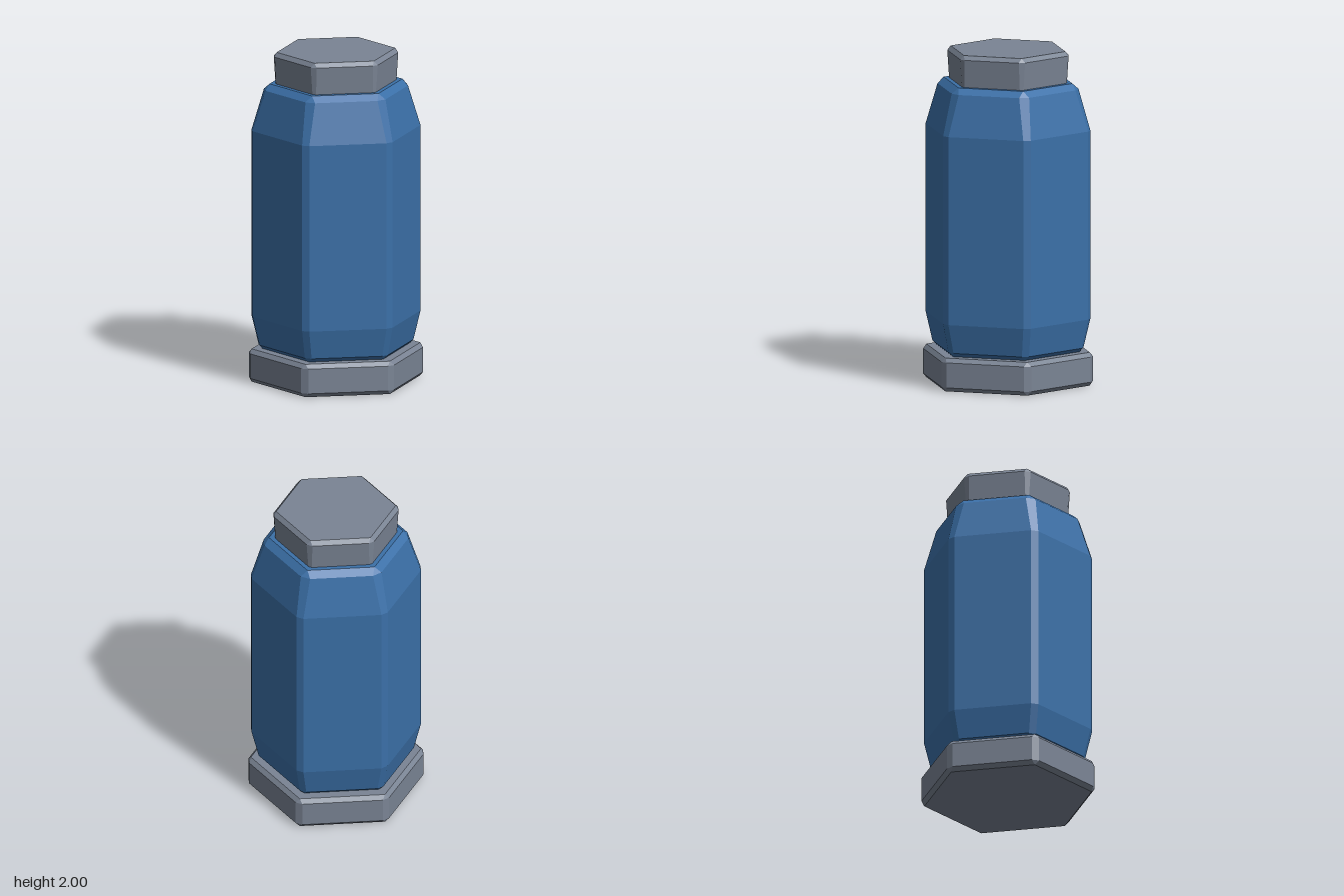
import * as THREE from 'three';

// One hexagonal ring: flat-to-centre distance and corner reach along x.
// A reach shorter than the true corner leaves a narrow chamfer there.
function ring([y, apothem, reach = apothem / Math.cos(Math.PI / 6)]) {
  const half = Math.max(0, (apothem - reach * Math.cos(Math.PI / 6)) / 0.5);
  const points = [];
  for (let k = 0; k < 6; k++) {
    const c = Math.cos(k * Math.PI / 3), s = Math.sin(k * Math.PI / 3);
    for (const z of [-half, half]) {
      points.push(new THREE.Vector3(reach * c - z * s, y, reach * s + z * c));
    }
  }
  return points;
}

// Closed, flat-faced solid lofted through rings listed from bottom to top
function hexSolid(name, levels, material) {
  const rings = levels.map(ring);
  const positions = [];
  const triangle = (a, b, c) => {
    const area = b.clone().sub(a).cross(c.clone().sub(a)).length();
    if (area > 1e-8) for (const p of [a, b, c]) positions.push(p.x, p.y, p.z);
  };
  const last = rings.length - 1;
  const bottom = new THREE.Vector3(0, levels[0][0], 0);
  const top = new THREE.Vector3(0, levels[last][0], 0);
  for (let i = 0; i < 12; i++) {
    const j = (i + 1) % 12;
    for (let r = 0; r < last; r++) {
      const a = rings[r], b = rings[r + 1];
      triangle(a[j], a[i], b[i]);
      triangle(a[j], b[i], b[j]);
    }
    triangle(bottom, rings[0][i], rings[0][j]);
    triangle(top, rings[last][j], rings[last][i]);
  }
  const geometry = new THREE.BufferGeometry();
  geometry.setAttribute('position', new THREE.Float32BufferAttribute(positions, 3));
  geometry.computeVertexNormals();
  const mesh = new THREE.Mesh(geometry, material);
  mesh.name = name;
  return mesh;
}

export function createModel() {
  const blue = new THREE.MeshStandardMaterial({ color: 0x3b70a8 });
  blue.name = 'blue';
  const grey = new THREE.MeshStandardMaterial({ color: 0x7a8494 });
  grey.name = 'grey';

  const model = new THREE.Group();
  model.name = 'hexagonalCanister';
  model.add(
    // Bevelled foot
    hexSolid('base', [
      [0, 0.438], [0.025, 0.46, 0.518], [0.175, 0.46, 0.518], [0.2, 0.438],
    ], grey),
    // Body tapering at the foot and shoulder
    hexSolid('body', [
      [0.2, 0.383], [0.225, 0.41, 0.461], [0.4, 0.447, 0.503],
      [1.53, 0.447, 0.503], [1.775, 0.385, 0.427], [1.81, 0.345],
    ], blue),
    // Lid, slightly wider at the top
    hexSolid('cap', [
      [1.79, 0.317, 0.36], [1.975, 0.33, 0.37], [2, 0.308],
    ], grey),
  );
  return model;
}
